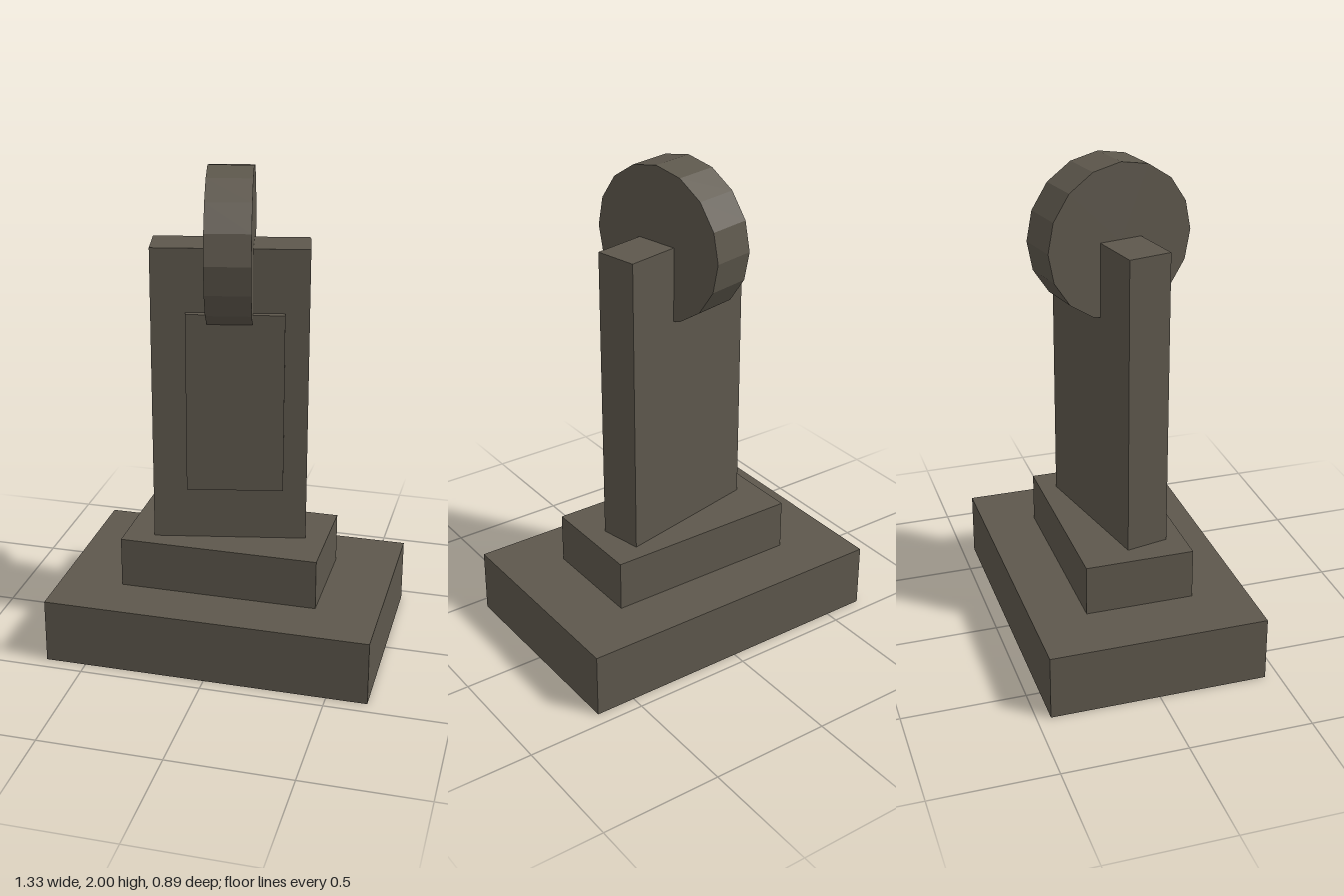
import * as THREE from 'three';

export function createModel() {
  const model = new THREE.Group();
  model.name = 'monument';
  const stone = new THREE.MeshStandardMaterial({ color: 0x5d574c });
  stone.name = 'dark stone';
  stone.flatShading = true;

  const add = (parent, name, geometry, x, y, z) => {
    const mesh = new THREE.Mesh(geometry, stone);
    mesh.name = name;
    mesh.position.set(x, y, z);
    parent.add(mesh);
    return mesh;
  };
  // Box standing between two heights
  const block = (parent, name, w, d, y0, y1, x = 0, z = 0) =>
    add(parent, name, new THREE.BoxGeometry(w, y1 - y0, d), x, (y0 + y1) / 2, z);

  // Stepped base
  block(model, 'lowerStep', 1.333, 0.889, 0, 0.267);
  block(model, 'upperStep', 0.815, 0.444, 0.267, 0.475);

  // Upright part, turned slightly on the base
  const upright = new THREE.Group();
  upright.name = 'upright';
  upright.rotation.y = THREE.MathUtils.degToRad(12);
  model.add(upright);

  block(upright, 'slab', 0.62, 0.178, 0.475, 1.697);
  block(upright, 'frontPanel', 0.388, 0.04, 0.698, 1.44, 0.021, 0.096);

  // Sixteen-sided disc set across the top of the slab
  const disc = new THREE.CylinderGeometry(0.311, 0.311, 0.178, 16);
  disc.rotateZ(Math.PI / 2);
  add(upright, 'topDisc', disc, 0, 1.689, 0);

  return model;
}
